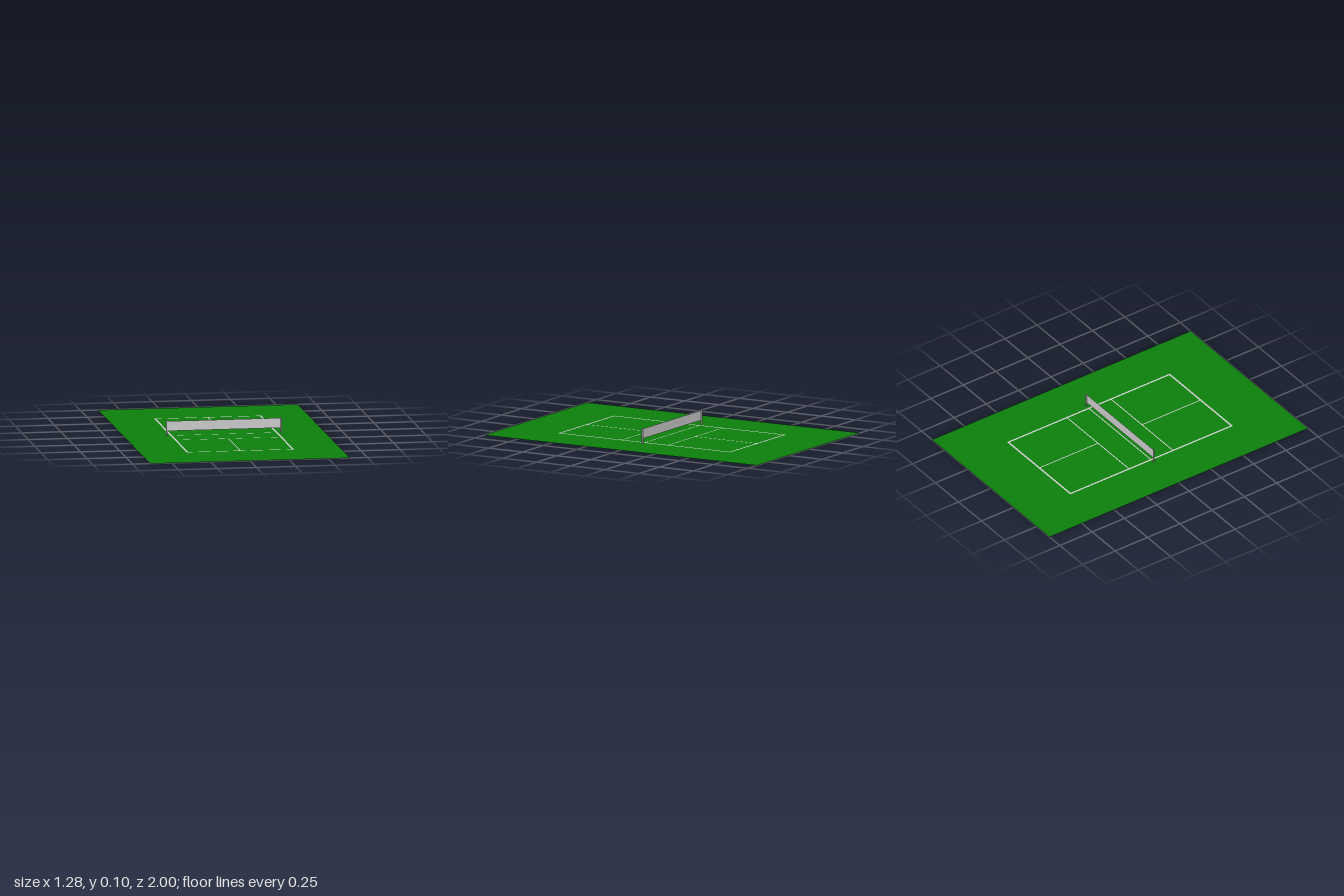
import * as THREE from 'three';

const green = new THREE.MeshStandardMaterial({ color: 0x0c800c, side: THREE.DoubleSide });
const grey = new THREE.MeshStandardMaterial({ color: 0xcccccc, side: THREE.DoubleSide });

// Rectangle from corner to corner, as a path or a fillable shape
function rect(x0, z0, x1, z1, Type = THREE.Shape) {
  return new Type([[x0, z0], [x1, z0], [x1, z1], [x0, z1]].map(([x, z]) => new THREE.Vector2(x, z)));
}

// Flat surface lying on the floor
function flat(name, shapes, material) {
  const mesh = new THREE.Mesh(new THREE.ShapeGeometry(shapes).rotateX(-Math.PI / 2), material);
  mesh.name = name;
  return mesh;
}

export function createModel() {
  const model = new THREE.Group();
  model.name = 'court';

  const groundX = 0.638, groundZ = 1;
  const courtX = 0.343, courtZ = 0.63; // outer edge of the boundary lines
  const edge = 0.012, half = 0.0035;   // boundary width, half width of inner lines
  const serviceZ = 0.17;
  const inX = courtX - edge, inZ = courtZ - edge;

  // Playing areas between the lines: two near the net, four service boxes
  const areas = [];
  for (const s of [-1, 1]) {
    areas.push([-inX, s * half, inX, s * (serviceZ - half)]);
    for (const t of [-1, 1]) areas.push([t * half, s * (serviceZ + half), t * inX, s * inZ]);
  }

  // Green surface: surround plus playing areas
  const surround = rect(-groundX, -groundZ, groundX, groundZ);
  surround.holes.push(rect(-courtX, -courtZ, courtX, courtZ, THREE.Path));
  model.add(flat('ground', [surround, ...areas.map((a) => rect(...a))], green));

  // Line markings fill the gaps
  const lines = rect(-courtX, -courtZ, courtX, courtZ);
  lines.holes = areas.map((a) => rect(...a, THREE.Path));
  model.add(flat('courtLines', lines, grey));

  // Net panel
  const net = new THREE.Mesh(new THREE.PlaneGeometry(0.724, 0.063), grey);
  net.name = 'net';
  net.position.y = 0.061;
  model.add(net);

  // Net posts
  for (const s of [-1, 1]) {
    const post = new THREE.Mesh(new THREE.CylinderGeometry(0.0055, 0.0055, 0.096, 16), grey);
    post.name = s > 0 ? 'leftPost' : 'rightPost';
    post.position.set(s * 0.365, 0.048, 0);
    model.add(post);
  }
  return model;
}
